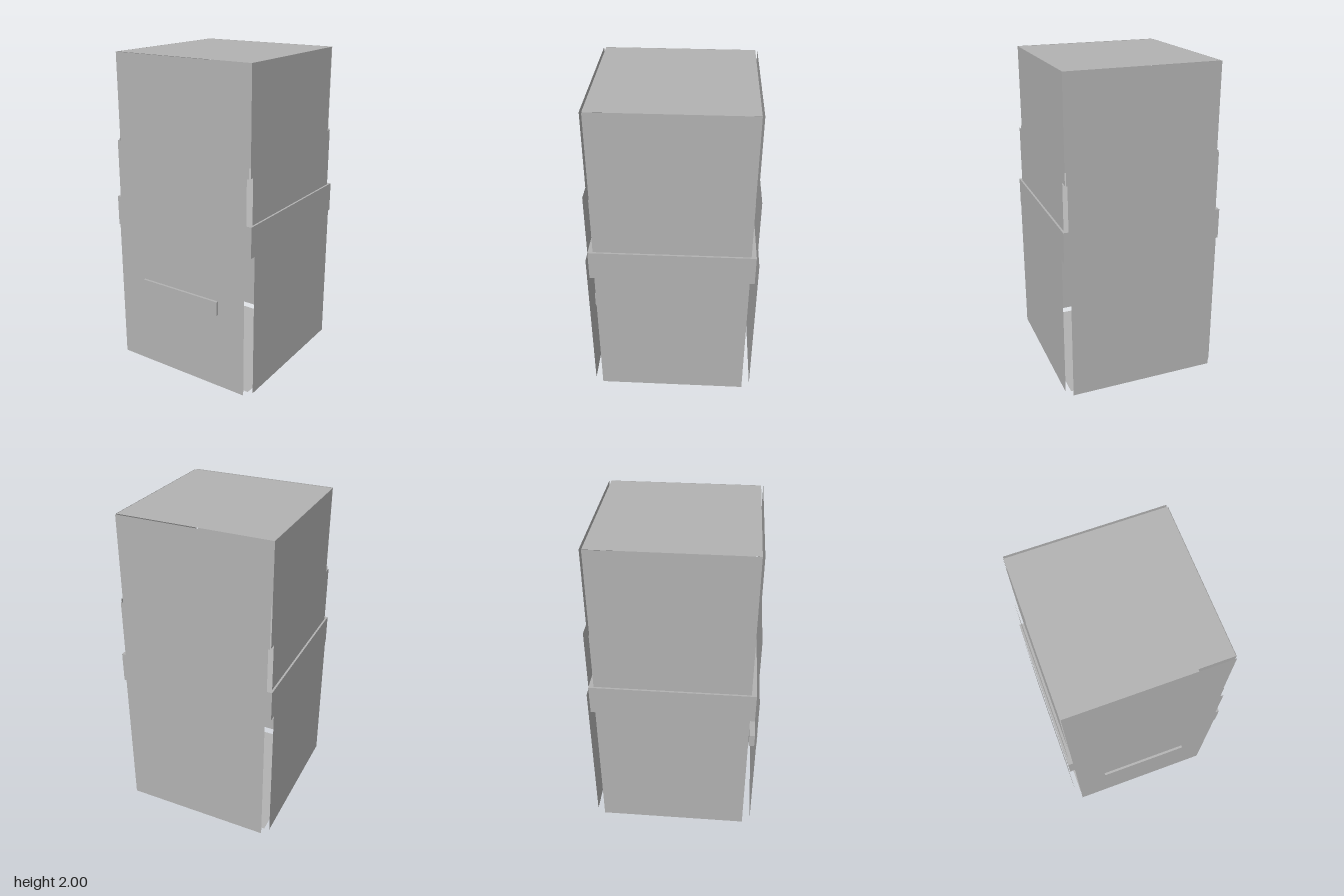
import * as THREE from 'three';

export function createModel() {
  const model = new THREE.Group();
  model.name = 'panelledBox';
  const grey = new THREE.MeshStandardMaterial({ color: 0xb2b2b2, side: THREE.DoubleSide });
  grey.name = 'plain grey';
  const width = 0.94;

  // the panelled body sits slightly behind the centre
  const body = new THREE.Group();
  body.name = 'body';
  body.position.set(-0.002, 0, -0.006);
  model.add(body);

  function add(name, geometry, parent, x, y, z) {
    const mesh = new THREE.Mesh(geometry, grey);
    mesh.name = name;
    mesh.position.set(x, y, z);
    parent.add(mesh);
    return mesh;
  }

  // three tiers of loose wall sheets, each lower tier further out
  const tiers = [
    { name: 'lower', bottom: 0.005, top: 1.02, side: 0.505, front: 0.522 },
    { name: 'middle', bottom: 1.0, top: 1.47, side: 0.488, front: 0.506 },
    { name: 'upper', bottom: 1.37, top: 2.0, side: 0.473, front: 0.483 },
  ];
  for (const t of tiers) {
    const sheet = new THREE.PlaneGeometry(width, t.top - t.bottom);
    const y = (t.top + t.bottom) / 2;
    const walls = [['Front', 0, t.front], ['Left', t.side, 0], ['Back', 0, -t.front], ['Right', -t.side, 0]];
    walls.forEach(([wall, x, z], i) => {
      add(t.name + wall + 'Panel', sheet, body, x, y, z).rotation.y = i * Math.PI / 2;
    });
  }

  // top and floor sheets
  const plate = new THREE.PlaneGeometry(width, width);
  add('topPanel', plate, body, 0, 2, 0).rotation.x = -Math.PI / 2;
  add('floorPanel', plate, body, 0, 0, 0).rotation.x = Math.PI / 2;

  // solid slab between the lower and middle tiers
  add('middleSlab', new THREE.BoxGeometry(1, 0.19, 1), body, 0, 1.005, 0);

  // front handle bar
  add('handle', new THREE.BoxGeometry(0.566, 0.09, 0.052), model, 0, 0.545, 0.505);

  return model;
}
